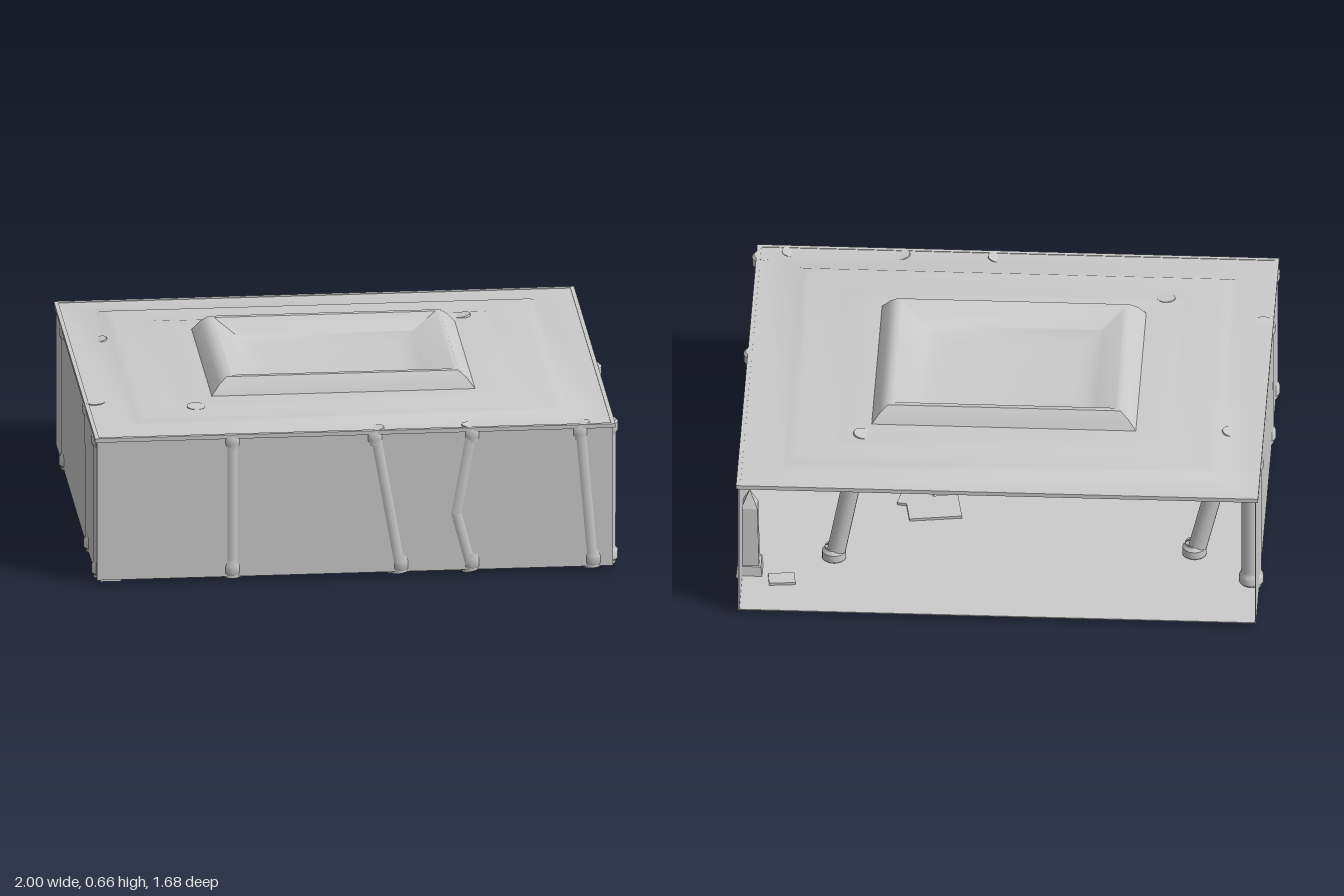
import * as THREE from 'three';
import { toCreasedNormals } from 'three/addons/utils/BufferGeometryUtils.js';

const FLOOR = 0.02, CEIL = 0.58;
const X0 = -0.985, X1 = 0.975, Z0 = -0.83, Z1 = 0.83;

export function createModel() {
  const model = new THREE.Group();
  const mat = new THREE.MeshStandardMaterial({ color: 0xcccccc, side: THREE.DoubleSide });

  function add(name, geometry, parent = model) {
    const mesh = new THREE.Mesh(geometry, mat);
    mesh.name = name;
    parent.add(mesh);
    return mesh;
  }
  function box(name, xa, xb, ya, yb, za, zb) {
    const mesh = add(name, new THREE.BoxGeometry(xb - xa, yb - ya, zb - za));
    mesh.position.set((xa + xb) / 2, (ya + yb) / 2, (za + zb) / 2);
    return mesh;
  }

  // Floor and three walls, open at the back
  const t = 0.004;
  box('floor', X0, X1, FLOOR - t, FLOOR, Z0, Z1);
  box('leftWall', X1 - t, X1, FLOOR, CEIL, Z0, Z1);
  box('rightWall', X0, X0 + t, FLOOR, CEIL, Z0, Z1);
  box('frontWall', X0, X1, FLOOR, CEIL, Z1 - t, Z1);

  // Coffered ceiling: nested rectangles of x range, z range and height
  const rings = [
    [X0, X1, Z0, Z1, CEIL],
    [-0.84, 0.82, -0.70, 0.69, CEIL],
    [-0.82, 0.80, -0.68, 0.67, 0.59],
    [-0.79, 0.77, -0.65, 0.64, 0.593],
    [-0.65, 0.63, -0.54, 0.52, 0.593],
    [-0.63, 0.61, -0.52, 0.50, 0.597],
    [-0.51, 0.49, -0.41, 0.41, 0.597],
    [-0.48, 0.46, -0.39, 0.39, 0.635],
    [-0.45, 0.43, -0.37, 0.37, 0.66],
    [-0.43, 0.41, -0.35, 0.35, 0.66],
    [-0.35, 0.32, -0.29, 0.27, 0.605],
    [-0.31, 0.28, -0.25, 0.23, 0.592],
    [-0.27, 0.25, -0.22, 0.20, 0.59],
  ];
  const points = [], faces = [];
  rings.forEach(([xa, xb, za, zb, y], r) => {
    points.push(xa, y, za, xa, y, zb, xb, y, zb, xb, y, za);
    if (r === 0) return;
    for (let i = 0; i < 4; i++) {
      const j = (i + 1) % 4, a = (r - 1) * 4, b = r * 4;
      faces.push(a + i, a + j, b + j, a + i, b + j, b + i);
    }
  });
  const last = (rings.length - 1) * 4;
  faces.push(last, last + 1, last + 2, last, last + 2, last + 3);
  const ceiling = new THREE.BufferGeometry();
  ceiling.setAttribute('position', new THREE.Float32BufferAttribute(points, 3));
  ceiling.setIndex(faces);
  add('cofferedCeiling', toCreasedNormals(ceiling, 0.7));

  // Thin rim around the ceiling edge
  const e = 0.008, low = CEIL - 0.014;
  box('frontRim', X0 - e, X1 + e, low, CEIL + 0.002, Z1 - e, Z1 + e);
  box('backRim', X0 - e, X1 + e, low, CEIL + 0.002, Z0 - e, Z0 + e);
  box('leftRim', X1 - e, X1 + e, low, CEIL + 0.002, Z0, Z1);
  box('rightRim', X0 - e, X0 + e, low, CEIL + 0.002, Z0, Z1);

  // Columns: straight shafts between points, with a collar at each end
  function column(name, path, r = 0.038, collar = 0.046) {
    const group = new THREE.Group();
    group.name = name;
    model.add(group);
    const pts = path.map(p => new THREE.Vector3(...p));
    for (let i = 1; i < pts.length; i++) {
      const dir = pts[i].clone().sub(pts[i - 1]);
      const shaft = add('shaft', new THREE.CylinderGeometry(r, r, dir.length(), 16), group);
      shaft.position.copy(pts[i - 1]).addScaledVector(dir, 0.5);
      shaft.quaternion.setFromUnitVectors(new THREE.Vector3(0, 1, 0), dir.normalize());
      if (i > 1) add('joint', new THREE.SphereGeometry(r, 16, 10), group).position.copy(pts[i - 1]);
    }
    const profile = [[r, -0.03], [collar, -0.022], [collar, 0.008], [r, 0.022], [r, 0.03]]
      .map(p => new THREE.Vector2(...p));
    const ring = toCreasedNormals(new THREE.LatheGeometry(profile, 16), 0.6);
    const foot = add('base', ring, group);
    foot.position.copy(pts[0]).y = 0.05;
    const head = add('capital', ring, group);
    head.position.copy(pts[pts.length - 1]).y = 0.55;
    head.rotation.x = Math.PI;
  }
  const B = 0.01, T = 0.58;
  // Free-standing leaning columns
  column('leaningColumnLeft', [[0.63, B, -0.46], [0.52, 0.6, -0.48]], 0.035);
  column('leaningColumnRight', [[-0.73, B, -0.37], [-0.87, T, -0.37]], 0.035);
  column('frontInnerColumn', [[-0.6, B, 0.47], [-0.58, 0.597, 0.52]], 0.035);
  // Columns half sunk into the side walls
  column('leftWallColumn', [[0.954, B, 0.1], [0.954, T, 0.1]]);
  column('leftFrontColumn', [[0.954, B, 0.76], [0.954, T, 0.77]]);
  column('rightBackColumn', [[-0.954, B, -0.55], [-0.954, T, -0.55]]);
  column('rightMiddleColumn', [[-0.954, B, 0.45], [-0.954, T, 0.39]]);
  column('rightFrontColumn', [[-0.954, B, 0.76], [-0.954, T, 0.76]]);
  // Columns half sunk into the front wall: straight, leaning and bent
  const zf = 0.798;
  column('frontStraightColumn', [[-0.47, B, zf], [-0.47, T, zf]], 0.038, 0.042);
  column('frontLeaningColumn', [[0.17, B, zf], [0.07, T, zf]], 0.038, 0.042);
  column('frontBentColumn', [[0.44, B, zf], [0.38, 0.24, zf], [0.44, T, zf]], 0.038, 0.042);
  column('frontCornerColumn', [[0.9, B, zf], [0.85, T, zf]], 0.038, 0.042);

  // Short pointed pillar against the left wall
  const pillar = new THREE.Group();
  pillar.name = 'pointedPillar';
  pillar.position.set(0.945, 0, -0.55);
  model.add(pillar);
  [['base', 0.045, 0.05, 0.01, 0.06], ['shaft', 0.031, 0.037, 0.06, 0.31], ['tip', 0, 0.031, 0.31, 0.38]]
    .forEach(([name, top, bottom, ya, yb]) => {
      const geo = new THREE.CylinderGeometry(top * Math.SQRT2, bottom * Math.SQRT2, yb - ya, 4)
        .rotateY(Math.PI / 4).toNonIndexed();
      geo.computeVertexNormals();
      add(name, geo, pillar).position.y = (ya + yb) / 2;
    });

  // Loose slabs sunk into the floor: x, z, width, depth, turn
  [
    [0.27, -0.1, 0.2, 0.15, 0.15], [0.34, -0.03, 0.12, 0.12, -0.2],
    [-0.31, 0.46, 0.1, 0.1, 0.1], [0.15, 0.76, 0.07, 0.06, 0.3],
    [0.82, -0.62, 0.1, 0.07, 0.1], [-0.93, 0.75, 0.08, 0.1, 0],
  ].forEach(([x, z, w, d, turn]) => {
    const slab = add('floorSlab', new THREE.BoxGeometry(w, 0.03, d));
    slab.position.set(x, 0.015, z);
    slab.rotation.y = turn;
  });
  return model;
}
